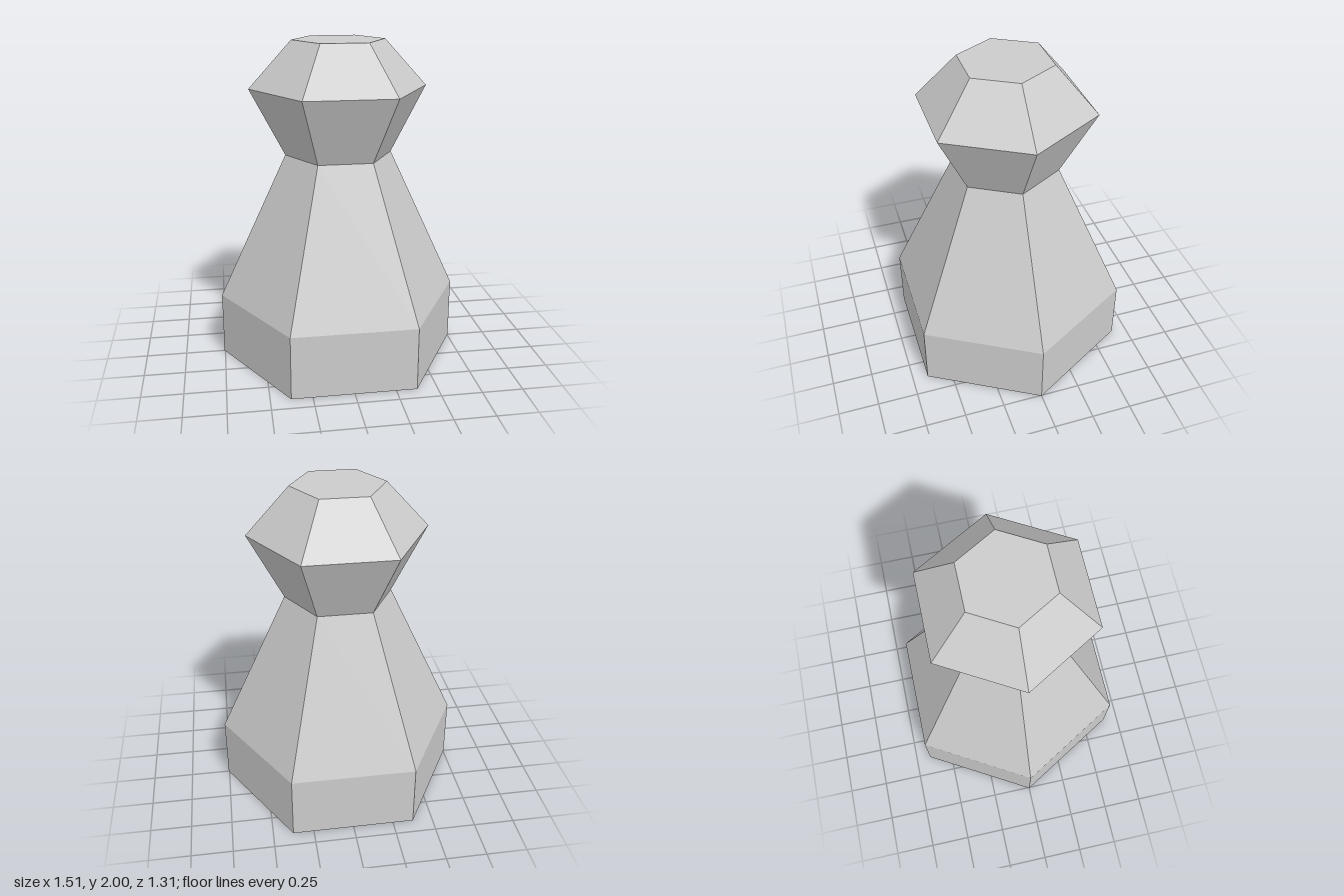
import * as THREE from 'three';

const material = new THREE.MeshStandardMaterial({ color: 0xcccccc, flatShading: true });

// Six-sided turned section with corners on the x axis; profile is [radius, height], bottom to top
function section(name, profile) {
  const points = profile.map(([r, y]) => new THREE.Vector2(r, y));
  const mesh = new THREE.Mesh(new THREE.LatheGeometry(points, 6, Math.PI / 2), material);
  mesh.name = name;
  return mesh;
}

export function createModel() {
  const group = new THREE.Group();
  group.name = 'pawn';
  group.add(
    // Straight foot, closed underneath
    section('base', [[0, 0], [0.755, 0], [0.755, 0.395]]),
    // Tapering body up to the narrow neck
    section('body', [[0.755, 0.395], [0.33, 1.305]]),
    // Flared head with bevelled, closed top
    section('head', [[0.33, 1.305], [0.543, 1.715], [0.283, 2], [0, 2]]),
  );
  return group;
}
